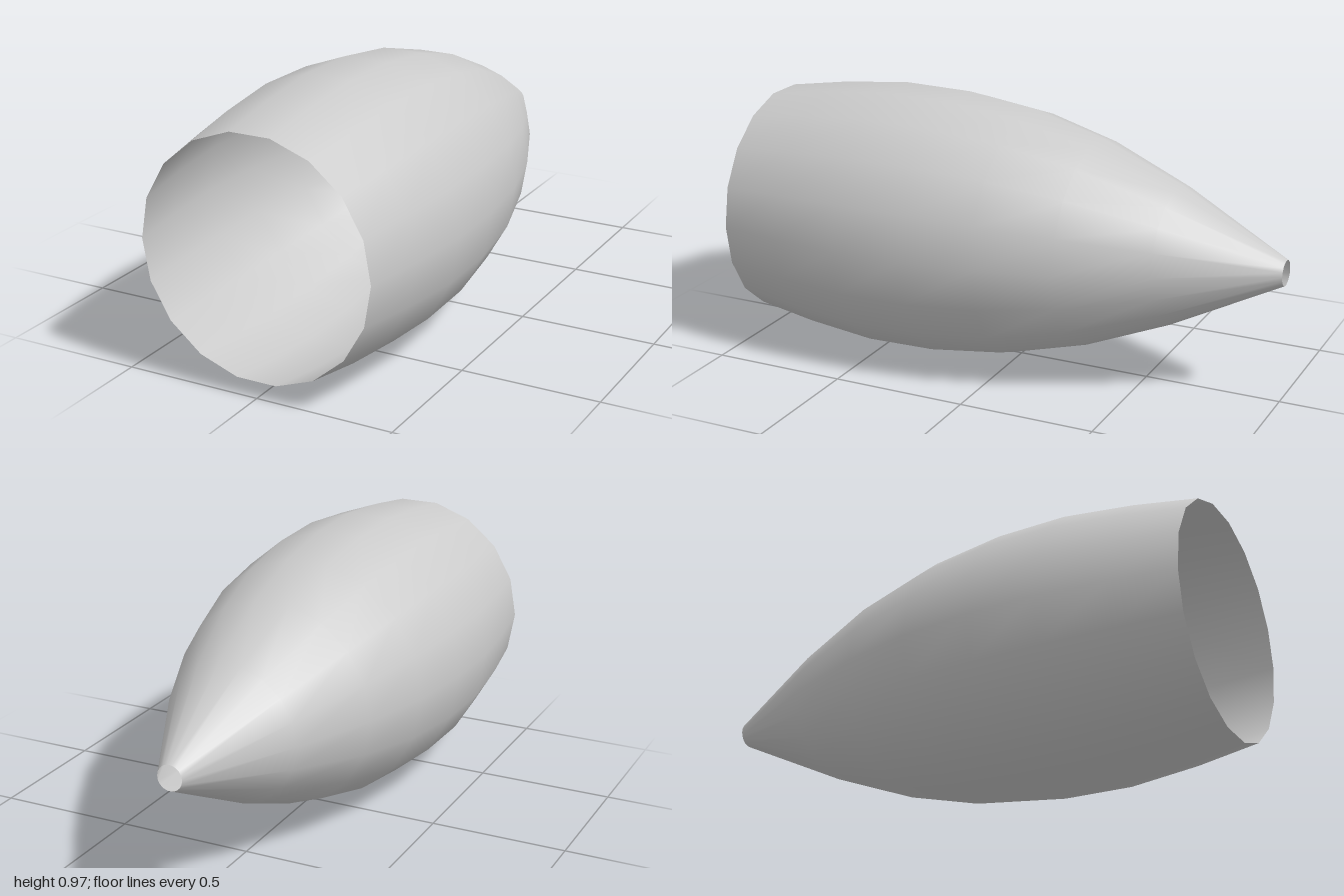
import * as THREE from 'three';

export function createModel() {
  const group = new THREE.Group();
  const sides = 18;

  // Profile of the shell: [radius, z], from the narrow rear tip to the open front
  const profile = [
    [0.046, -1], [0.25, -0.6], [0.377, -0.29], [0.45, -0.02],
    [0.485, 0.25], [0.49, 0.51], [0.464, 0.77], [0.428, 1],
  ].map(([r, z]) => new THREE.Vector2(r, z));

  // Thin hollow shell, open at both ends, with a corner on the x axis
  const geometry = new THREE.LatheGeometry(profile, sides, Math.PI / 2);
  geometry.rotateX(Math.PI / 2);
  geometry.translate(0, 0.49 * Math.cos(Math.PI / sides), 0);

  const shell = new THREE.Mesh(
    geometry,
    new THREE.MeshStandardMaterial({ color: 0xcccccc, side: THREE.DoubleSide }),
  );
  shell.name = 'taperedShell';
  group.add(shell);
  return group;
}
